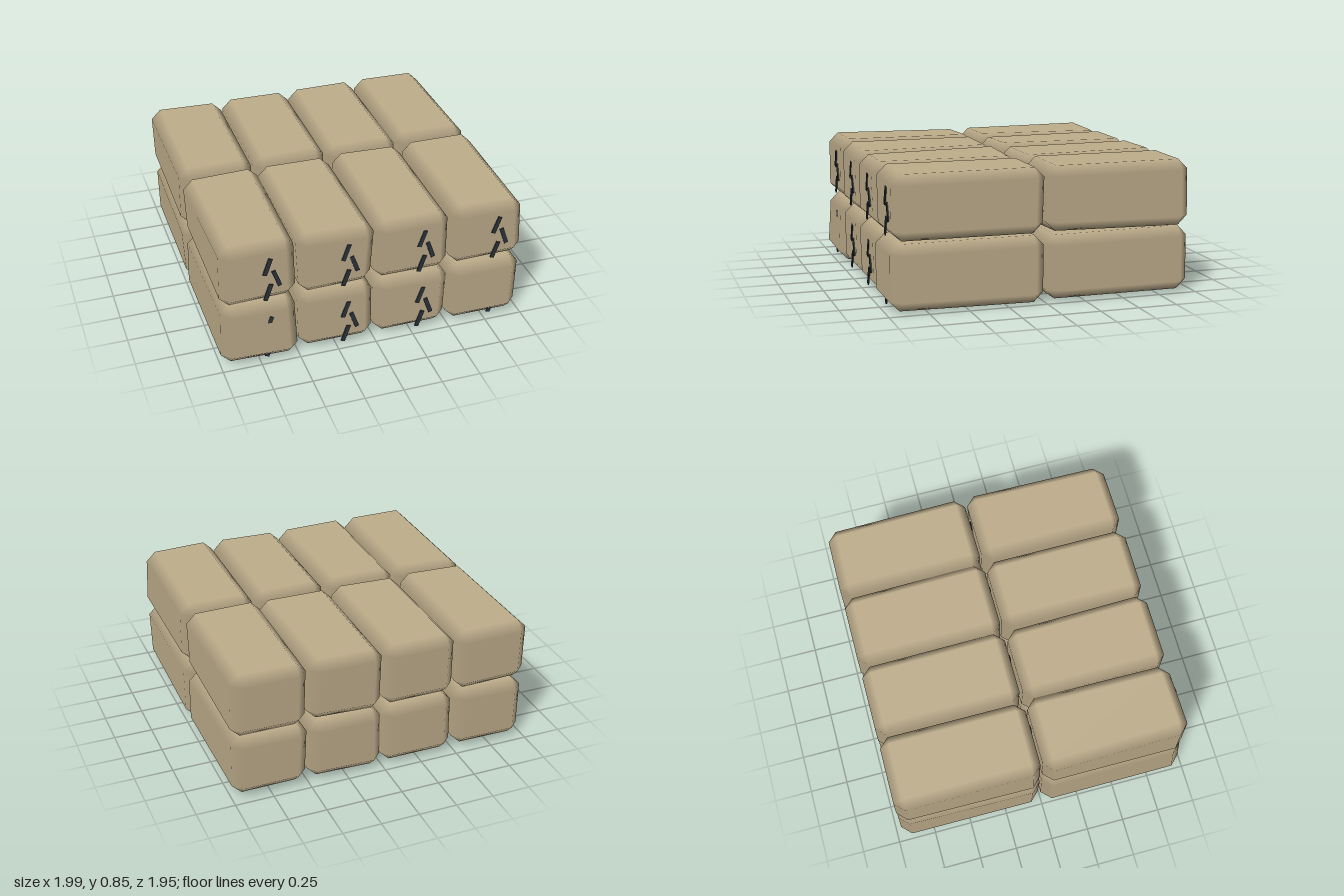
import * as THREE from 'three';
import { mergeVertices } from 'three/addons/utils/BufferGeometryUtils.js';
import { ConvexGeometry } from 'three/addons/geometries/ConvexGeometry.js';

const HALF = [0.243, 0.206, 0.4775];
const BEVEL = 0.062;
const COLUMNS = [-0.745, -0.248, 0.248, 0.745];
const LAYERS = [0.215, 0.642];
const ROWS = [0.485, -0.485];

// Small seeded generator returning values in -1..1
function makeRandom(seed) {
  return () => {
    seed = (seed * 16807) % 2147483647;
    return (seed / 2147483647) * 2 - 1;
  };
}

// Chamfered box whose vertices carry their face's normal, so bevels shade softly
function bevelledBox() {
  const points = [];
  for (let axis = 0; axis < 3; axis++)
    for (const sx of [-1, 1]) for (const sy of [-1, 1]) for (const sz of [-1, 1]) {
      const p = [sx, sy, sz].map((s, i) => s * (HALF[i] - (i === axis ? 0 : BEVEL)));
      points.push(new THREE.Vector3(...p));
    }
  const hull = new ConvexGeometry(points);
  hull.deleteAttribute('normal');
  const geo = mergeVertices(hull);
  const pos = geo.attributes.position;
  const normals = new Float32Array(pos.count * 3);
  for (let i = 0; i < pos.count; i++)
    for (let axis = 0; axis < 3; axis++) {
      const v = pos.getComponent(i, axis);
      if (Math.abs(Math.abs(v) - HALF[axis]) < 1e-4) normals[i * 3 + axis] = Math.sign(v);
    }
  geo.setAttribute('normal', new THREE.BufferAttribute(normals, 3));
  return geo;
}

// Copy of the block with each of its eight corners nudged a little;
// bulge = [top, bottom] pushes the front face forward
function unevenBlock(base, random, bulge) {
  const geo = base.clone();
  const corners = Array.from({ length: 8 }, () =>
    [random() * 0.009, random() * 0.008, random() * 0.005]);
  const pos = geo.attributes.position;
  for (let i = 0; i < pos.count; i++) {
    const x = pos.getX(i), y = pos.getY(i), z = pos.getZ(i);
    const c = corners[(x > 0 ? 1 : 0) + (y > 0 ? 2 : 0) + (z > 0 ? 4 : 0)];
    const dz = bulge && z > 0 ? bulge[y > 0 ? 0 : 1] : c[2];
    pos.setXYZ(i, x + c[0], y + c[1], z + dz);
  }
  return geo;
}

export function createModel() {
  const model = new THREE.Group();
  model.name = 'blockStack';
  const tan = new THREE.MeshStandardMaterial({ color: 0xbfae8c });
  tan.name = 'tan';
  const charcoal = new THREE.MeshStandardMaterial({ color: 0x2c343c });
  charcoal.name = 'charcoal';

  const random = makeRandom(4217);
  const base = bevelledBox();
  const barGeo = new THREE.BoxGeometry(0.027, 0.118, 0.008);
  // x, y offset from the block centre, and slant
  const bars = [
    [0.055, 0.06, -0.34],
    [0.11, -0.03, 0.34],
    [0.055, -0.125, -0.34],
  ];
  // Lower outer blocks of the front row swell over their marks
  const bulges = { '0,0,0': [0.003, 0.02], '0,0,3': [0.014, 0.015] };

  ROWS.forEach((z, r) => LAYERS.forEach((y, l) => COLUMNS.forEach((x, c) => {
    const unit = new THREE.Group();
    unit.name = `${r ? 'back' : 'front'}${l ? 'Upper' : 'Lower'}Block${c + 1}`;
    unit.position.set(x, y, z);

    const block = new THREE.Mesh(unevenBlock(base, random, bulges[[r, l, c].join()]), tan);
    block.name = 'block';
    unit.add(block);

    // Three slanted marks on the front end
    for (const [bx, by, slant] of bars) {
      const bar = new THREE.Mesh(barGeo, charcoal);
      bar.name = 'mark';
      bar.position.set(bx, by, 0.481);
      bar.rotation.z = slant;
      unit.add(bar);
    }
    model.add(unit);
  })));
  return model;
}
